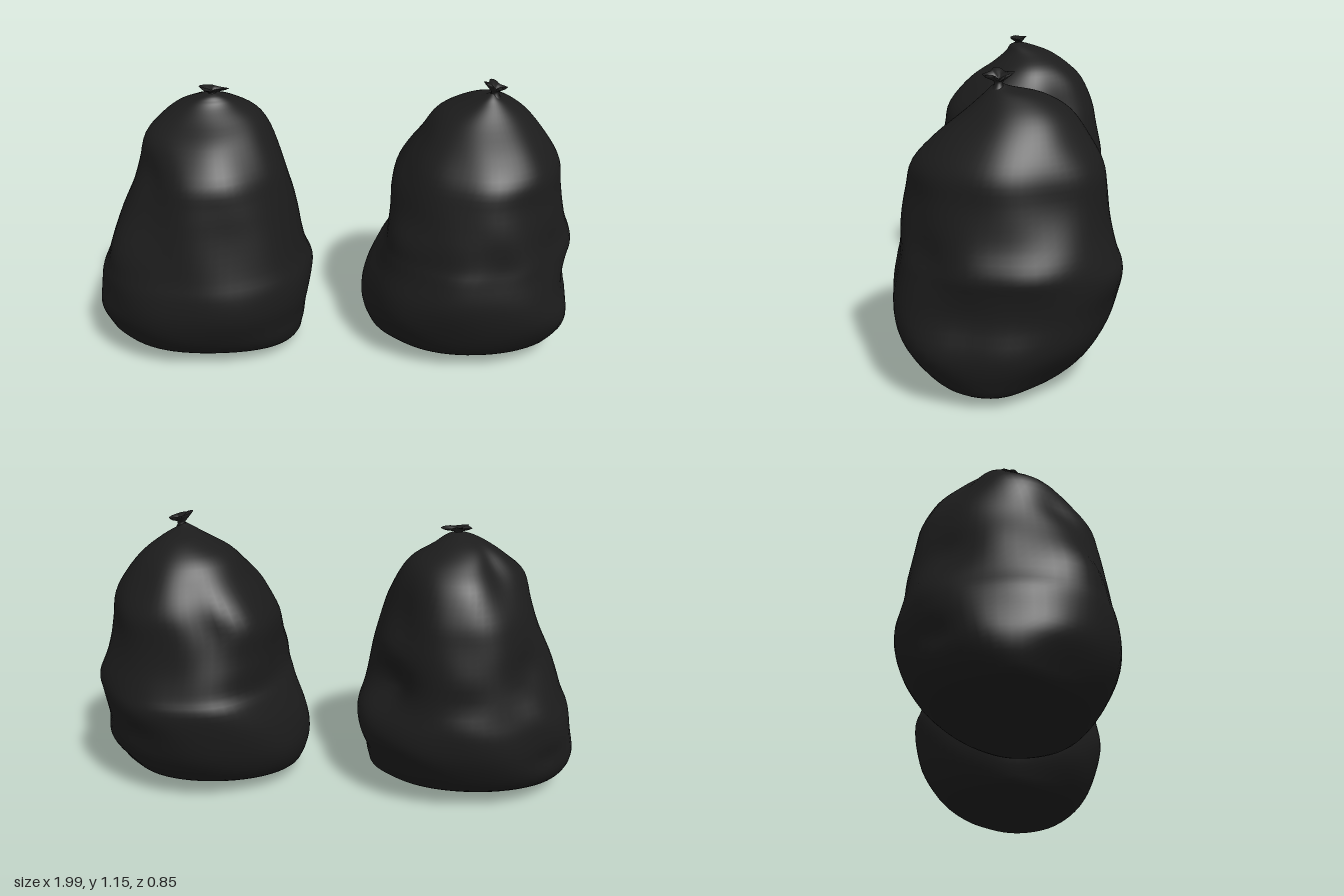
import * as THREE from 'three';

const SEG = 64, STEPS = 4;

// Smooth interpolation between profile rows
function smoothRows(rows) {
  const out = [], last = rows.length - 1;
  for (let i = 0; i < last; i++) {
    const a = rows[Math.max(i - 1, 0)], b = rows[i], c = rows[i + 1], d = rows[Math.min(i + 2, last)];
    for (let s = 0; s < STEPS; s++) {
      const t = s / STEPS;
      out.push(b.map((_, k) => b[k] + 0.5 * t * (c[k] - a[k]
        + t * (2 * a[k] - 5 * b[k] + 4 * c[k] - d[k] + t * (3 * (b[k] - c[k]) + d[k] - a[k])))));
    }
  }
  out.push(rows[last]);
  return out;
}

// Joins equal rings, bottom to top, into one smooth skin
function skin(rings) {
  const pos = [], idx = [], n = rings[0].length;
  rings.forEach(r => r.forEach(p => pos.push(...p)));
  for (let i = 0; i < rings.length - 1; i++) {
    for (let j = 0; j < n; j++) {
      const a = i * n + j, b = i * n + (j + 1) % n;
      idx.push(a, a + n, b, b, a + n, b + n);
    }
  }
  const g = new THREE.BufferGeometry();
  g.setAttribute('position', new THREE.Float32BufferAttribute(pos, 3));
  g.setIndex(idx);
  g.computeVertexNormals();
  return g;
}

// Sack from rows [y, xMin, xMax, zMin, zMax] and dents [angle in degrees, y, width, height, depth];
// a negative depth is a bulge
function sackGeometry(rows, dents, phase) {
  const rings = smoothRows(rows).map(([y, x0, x1, z0, z1]) => {
    const cx = (x0 + x1) / 2, cz = (z0 + z1) / 2, rx = (x1 - x0) / 2, rz = (z1 - z0) / 2;
    const fade = THREE.MathUtils.smoothstep(y, 0.05, 0.25) * (1 - THREE.MathUtils.smoothstep(y, 0.9, 1.08));
    return Array.from({ length: SEG }, (_, j) => {
      const a = j / SEG * Math.PI * 2;
      let k = 1 + fade * (0.008 * Math.sin(5 * a + 7 * y + phase) + 0.007 * Math.sin(8 * a - 11 * y + 2 * phase));
      for (const [deg, dy, w, h, depth] of dents) {
        let da = a - deg * Math.PI / 180;
        da = Math.atan2(Math.sin(da), Math.cos(da)) / (w * Math.PI / 180);
        k -= depth * Math.exp(-da * da - ((y - dy) / h) ** 2);
      }
      return [cx + Math.cos(a) * rx * k, y, cz + Math.sin(a) * rz * k];
    });
  });
  return skin(rings);
}

// Gathered neck flaring into a ruffled tuft
function tuftGeometry(rx, rz, height, lobes, tilt) {
  const profile = [[0, 0.5], [0.3, 0.3], [0.5, 0.34], [0.8, 0.8], [1, 1], [0.85, 0.55], [0.6, 0.05]];
  return skin(profile.map(([t, r], i) => Array.from({ length: 32 }, (_, j) => {
    const a = j / 32 * Math.PI * 2;
    const ruffle = i > 2 ? 0.8 + 0.2 * Math.cos(lobes * a + 0.6) : 1;
    const x = Math.cos(a) * (i < 3 ? 0.05 : rx) * r * ruffle;
    const z = Math.sin(a) * (i < 3 ? 0.05 : rz) * r * ruffle;
    return [x, t * height + (i > 2 ? tilt * x + 0.003 * Math.sin(3 * a) : 0), z];
  })));
}

export function createModel() {
  const plastic = new THREE.MeshStandardMaterial({ color: 0x1c1c1c, side: THREE.DoubleSide });
  plastic.name = 'black plastic';
  const model = new THREE.Group();
  model.name = 'binBags';

  // Sack with a wide foot and leaning top
  const wideRows = [
    [0.00, -0.55, -0.55, 0.04, 0.04], [0.015, -0.75, -0.32, -0.11, 0.18], [0.04, -0.92, -0.16, -0.20, 0.27],
    [0.10, -0.98, -0.13, -0.29, 0.34], [0.18, -1.00, -0.12, -0.35, 0.39], [0.27, -0.985, -0.10, -0.39, 0.42],
    [0.36, -0.965, -0.09, -0.40, 0.42], [0.45, -0.92, -0.11, -0.39, 0.40], [0.60, -0.87, -0.14, -0.37, 0.37],
    [0.72, -0.82, -0.17, -0.35, 0.35], [0.82, -0.79, -0.20, -0.33, 0.325], [0.93, -0.755, -0.25, -0.28, 0.23],
    [1.00, -0.69, -0.30, -0.21, 0.13], [1.05, -0.62, -0.38, -0.13, 0.07], [1.08, -0.55, -0.43, -0.05, 0.05],
    [1.095, -0.49, -0.47, 0.00, 0.02]];
  const wideDents = [
    [-35, 0.51, 23, 0.10, 0.24], [-35, 0.80, 25, 0.11, 0.09], [-40, 0.28, 25, 0.08, -0.04],
    [-35, 0.07, 25, 0.08, 0.06], [145, 0.81, 22, 0.07, 0.08], [145, 0.50, 22, 0.13, -0.13],
    [145, 0.95, 20, 0.06, -0.05], [145, 0.10, 25, 0.09, 0.07], [50, 0.06, 25, 0.08, -0.05],
    [-140, 0.60, 18, 0.08, 0.09], [-140, 0.43, 18, 0.07, -0.04], [-140, 0.98, 28, 0.11, 0.25],
    [-140, 0.22, 14, 0.06, 0.05], [-90, 0.50, 14, 0.06, 0.04], [40, 0.20, 24, 0.16, -0.06]];

  // Sack with a bulging outer side
  const bulgeRows = [
    [0.012, 0.52, 0.52, 0.04, 0.04], [0.02, 0.36, 0.78, -0.12, 0.19], [0.04, 0.20, 0.92, -0.21, 0.27],
    [0.10, 0.145, 0.965, -0.30, 0.34], [0.20, 0.125, 0.99, -0.37, 0.39], [0.32, 0.145, 0.98, -0.41, 0.42],
    [0.43, 0.195, 0.985, -0.43, 0.41], [0.50, 0.23, 0.99, -0.41, 0.395], [0.60, 0.24, 0.955, -0.385, 0.38],
    [0.72, 0.245, 0.93, -0.365, 0.355], [0.82, 0.295, 0.915, -0.345, 0.33], [0.91, 0.355, 0.865, -0.30, 0.25],
    [1.00, 0.42, 0.79, -0.235, 0.14], [1.06, 0.53, 0.71, -0.14, 0.075], [1.085, 0.59, 0.66, -0.03, 0.05],
    [1.10, 0.62, 0.64, 0.01, 0.03]];
  const bulgeDents = [
    [15, 0.36, 14, 0.09, 0.04], [-12, 0.48, 14, 0.07, -0.03], [40, 0.52, 18, 0.08, 0.06],
    [37, 0.20, 20, 0.12, -0.09], [62, 0.24, 16, 0.13, -0.05], [145, 0.53, 22, 0.11, -0.12],
    [145, 0.86, 20, 0.08, -0.03], [145, 0.07, 28, 0.09, 0.08], [-35, 0.08, 25, 0.09, 0.08],
    [-140, 0.79, 24, 0.13, -0.09], [-140, 0.58, 20, 0.08, -0.04], [-112, 0.75, 10, 0.12, 0.05],
    [-60, 0.42, 16, 0.08, -0.03], [-35, 0.58, 18, 0.09, -0.04], [-62, 0.78, 20, 0.09, -0.04],
    [80, 0.50, 14, 0.10, 0.03]];

  const add = (name, geometry, x = 0, y = 0, z = 0) => {
    const mesh = new THREE.Mesh(geometry, plastic);
    mesh.name = name;
    mesh.position.set(x, y, z);
    model.add(mesh);
  };
  add('wideSack', sackGeometry(wideRows, wideDents, 0.4));
  add('wideSackTuft', tuftGeometry(0.07, 0.04, 0.033, 3, -0.05), -0.48, 1.08, 0.01);
  add('bulgingSack', sackGeometry(bulgeRows, bulgeDents, 2.1));
  add('bulgingSackTuft', tuftGeometry(0.05, 0.057, 0.055, 4, -0.25), 0.64, 1.08, 0.02);
  return model;
}
